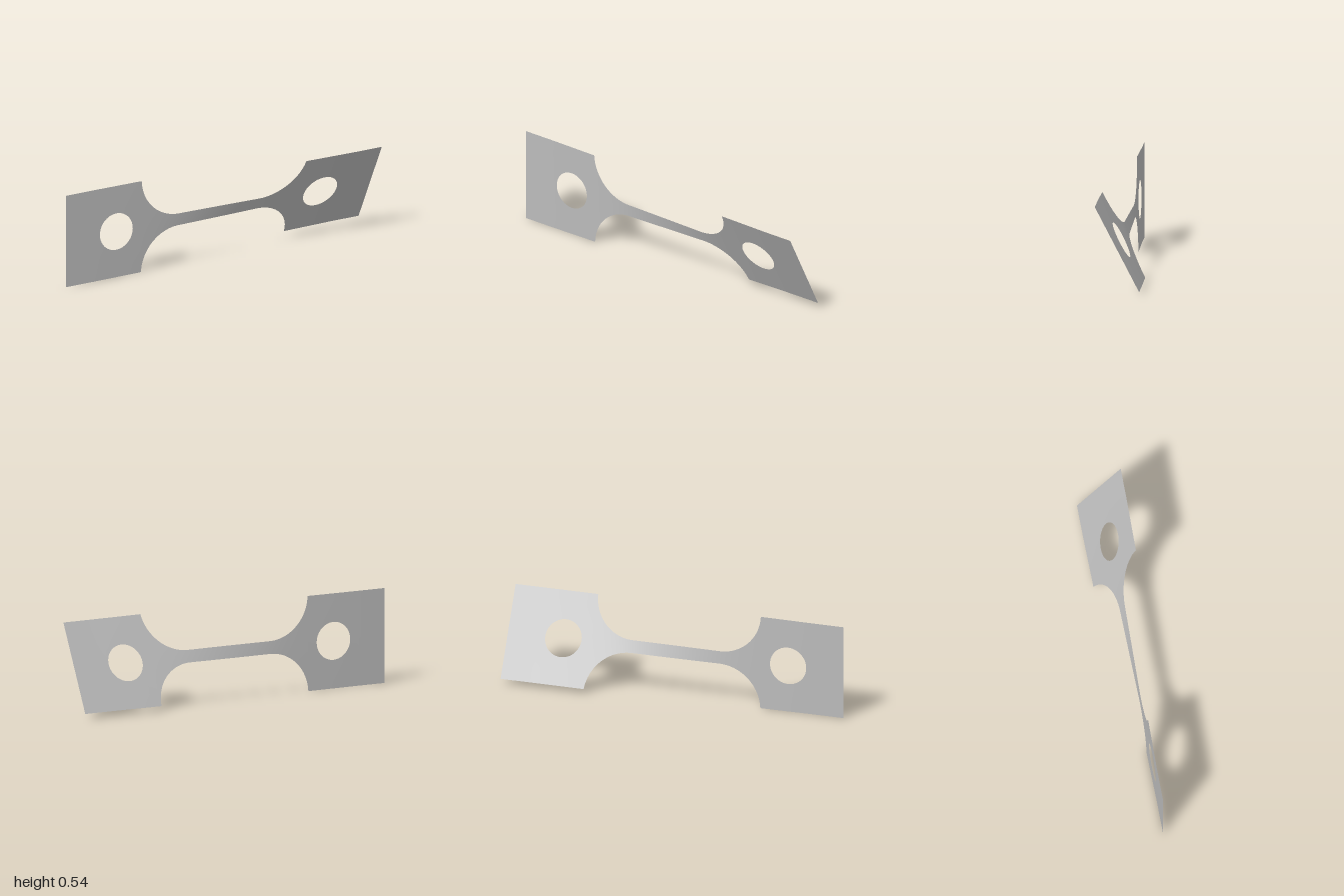
import * as THREE from 'three';
import { mergeVertices } from 'three/addons/utils/BufferGeometryUtils.js';

const HALF = 0.271, NECK = 0.036;          // half heights of the tabs and the neck
const ARC_X = 0.26, ARC_R = 0.246;         // fillet between neck and tab
const HOLE_X = 0.67, HOLE_R = 0.108;
const TWIST = THREE.MathUtils.degToRad(27.4);
const ARC_END = Math.acos((NECK + ARC_R - HALF) / ARC_R);
const TAB_X = ARC_X + ARC_R * Math.sin(ARC_END);

// Outline half height at x
function halfHeight(x) {
  const d = Math.abs(x) - ARC_X;
  if (d <= 0) return NECK;
  if (Math.abs(x) >= TAB_X) return HALF;
  return Math.min(HALF, NECK + ARC_R - Math.sqrt(Math.max(0, ARC_R * ARC_R - d * d)));
}

// Hole half height at x
function holeHeight(x) {
  const d = Math.abs(x) - HOLE_X;
  return Math.sqrt(Math.max(0, HOLE_R * HOLE_R - d * d));
}

// Column positions, closer together where the outline is steep
function columns() {
  const half = [];
  for (let i = 1; i <= 24; i++) half.push(ARC_X * i / 24);
  for (let i = 1; i <= 32; i++) half.push(ARC_X + ARC_R * Math.sin(ARC_END * i / 32));
  for (let i = 0; i <= 40; i++) half.push(HOLE_X - HOLE_R * Math.cos(Math.PI * i / 40));
  for (let i = 1; i <= 6; i++) half.push(HOLE_X + HOLE_R + (1 - HOLE_X - HOLE_R) * i / 6);
  return [...half.map(x => -x).reverse(), 0, ...half];
}

// Twist builds up fastest where the strip is narrow
function twistAngles(xs) {
  const sums = [0];
  for (let i = 1; i < xs.length; i++) {
    const mid = (xs[i] + xs[i - 1]) / 2;
    const rate = Math.abs(mid) > 0.8 ? 0 : Math.pow(halfHeight(mid), -1.2);
    sums.push(sums[i - 1] + rate * (xs[i] - xs[i - 1]));
  }
  const total = sums[sums.length - 1];
  return sums.map(s => TWIST * s / total);
}

function twistedSheet() {
  const xs = columns(), angles = twistAngles(xs);
  const positions = [], index = [];
  const ROWS = 4;
  // Lower and upper strips meet on the centre line, except around the holes
  for (const side of [-1, 1]) {
    const base = positions.length / 3;
    xs.forEach((x, i) => {
      const hole = holeHeight(x), edge = halfHeight(x);
      const from = side < 0 ? -edge : hole, to = side < 0 ? -hole : edge;
      for (let r = 0; r <= ROWS; r++) {
        const v = THREE.MathUtils.lerp(from, to, r / ROWS);
        positions.push(x, HALF + v * Math.cos(angles[i]), v * Math.sin(angles[i]));
      }
    });
    for (let i = 0; i < xs.length - 1; i++) {
      for (let r = 0; r < ROWS; r++) {
        const a = base + i * (ROWS + 1) + r, b = a + ROWS + 1;
        index.push(a, b, b + 1, a, b + 1, a + 1);
      }
    }
  }
  let geometry = new THREE.BufferGeometry();
  geometry.setAttribute('position', new THREE.Float32BufferAttribute(positions, 3));
  geometry.setIndex(index);
  geometry = mergeVertices(geometry, 1e-5);
  geometry.computeVertexNormals();
  return geometry;
}

export function createModel() {
  const group = new THREE.Group();
  group.name = 'twistedSpecimen';
  const grey = new THREE.MeshStandardMaterial({ color: 0xbbbbbb, side: THREE.DoubleSide });
  grey.name = 'grey metal';
  const sheet = new THREE.Mesh(twistedSheet(), grey);
  sheet.name = 'twistedSheet';
  group.add(sheet);
  return group;
}
